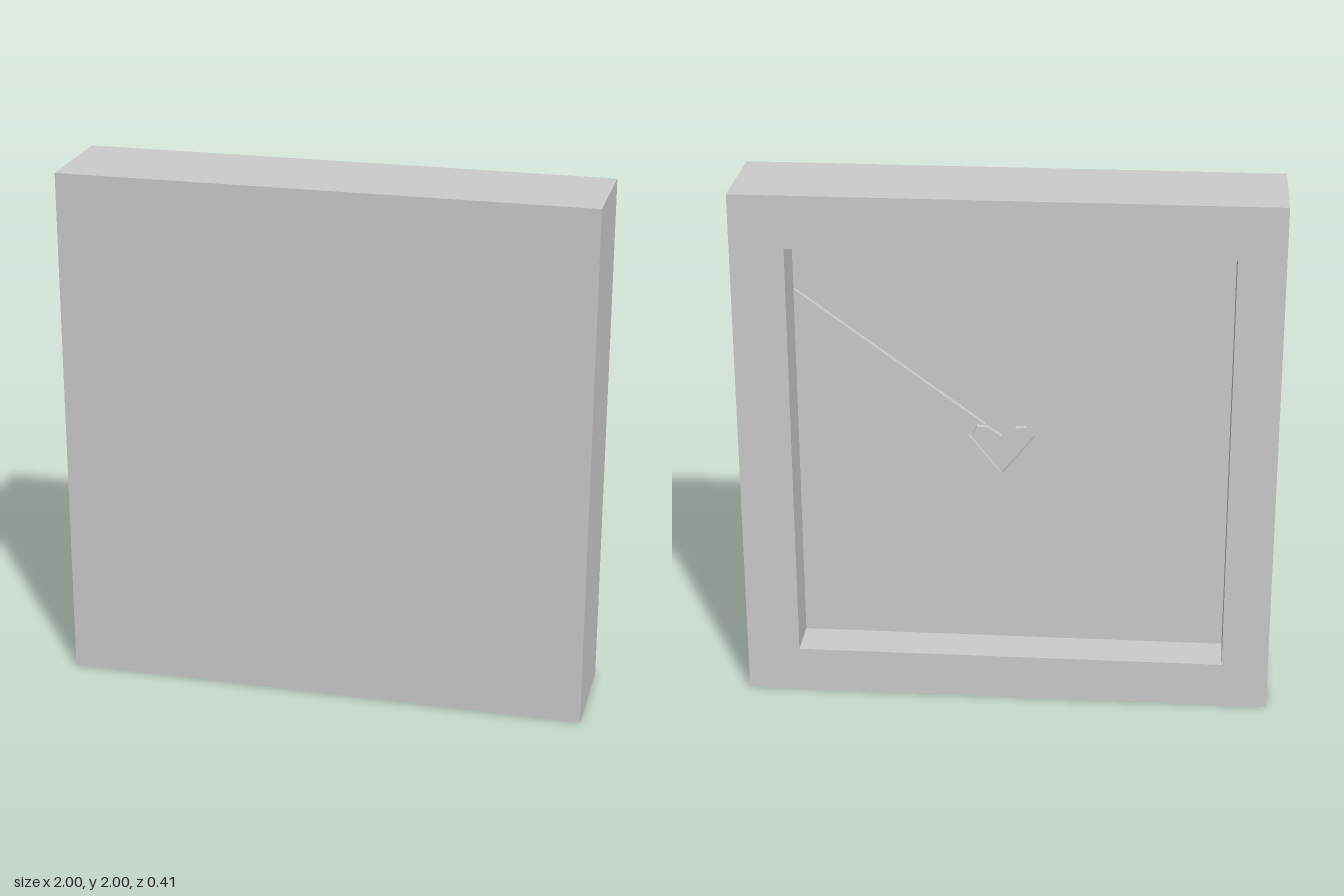
import * as THREE from 'three';

export function createModel() {
  const group = new THREE.Group();
  const material = new THREE.MeshStandardMaterial({ color: 0xcccccc, flatShading: true });
  const points = (list) => list.map(([x, y]) => new THREE.Vector2(x, y));

  // Extrudes an outline (with an optional hole) between two z depths
  function slab(name, outline, z0, z1, hole) {
    const shape = new THREE.Shape(points(outline));
    if (hole) shape.holes.push(new THREE.Path(points(hole)));
    const geometry = new THREE.ExtrudeGeometry(shape, { depth: z1 - z0, bevelEnabled: false });
    geometry.translate(0, 0, z0);
    const mesh = new THREE.Mesh(geometry, material);
    mesh.name = name;
    group.add(mesh);
  }

  const back = -0.205, floor = -0.035, grooveBottom = -0.015, front = 0.205;
  const left = 0.8, right = -0.825, bottom = 0.175, top = 1.8;
  const cx = 0.03; // centre line of the heart and flap tip

  const square = [[-1, 0], [1, 0], [1, 2], [-1, 2]];
  const recess = [[right, bottom], [left, bottom], [left, top], [right, top]];

  // Solid front block and the rim around the recess
  slab('frontBlock', square, grooveBottom, front);
  slab('rim', square, back, grooveBottom, recess);

  // Recess floor, split by narrow engraved grooves
  slab('envelopeFlap', [
    [left, top], [right, top], [right, 1.63], [cx, 1.042], [left, 1.605],
  ], floor, grooveBottom);

  slab('envelopeBody', [
    [right, bottom], [left, bottom], [left, 1.587],
    [cx + 0.06, 1.066], [cx + 0.104, 1.073], [cx + 0.127, 1.025],
    [cx, 0.866],
    [cx - 0.127, 1.025], [cx - 0.104, 1.073], [cx - 0.06, 1.066],
    [right, 1.612],
  ], floor, grooveBottom);

  slab('heartSeal', [
    [cx, 0.888], [cx + 0.109, 1.024], [cx + 0.093, 1.058], [cx + 0.053, 1.056],
    [cx, 1.022],
    [cx - 0.053, 1.056], [cx - 0.093, 1.058], [cx - 0.109, 1.024],
  ], floor, grooveBottom);

  return group;
}
